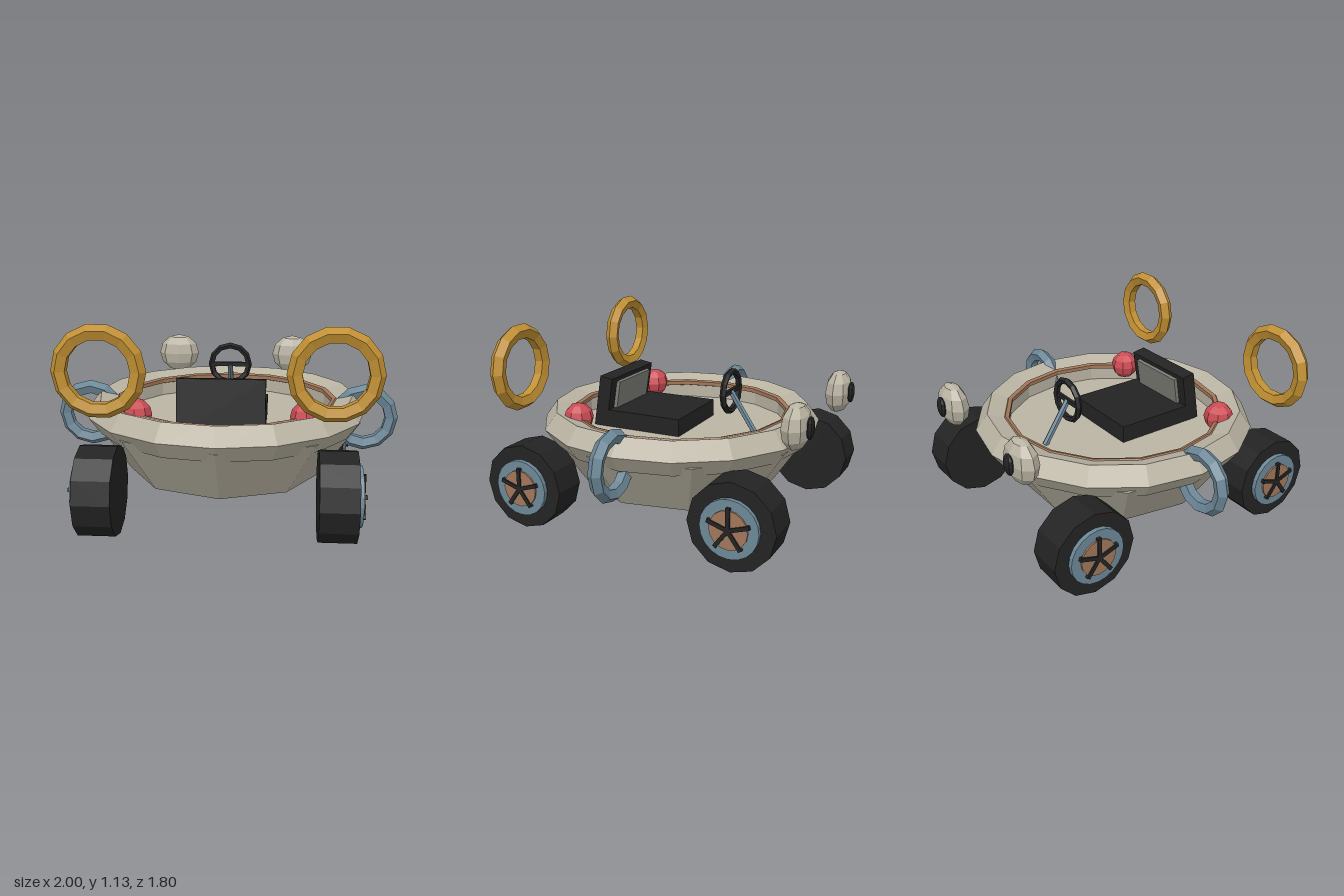
import * as THREE from 'three';

const colours = {
  stone: 0xbab4a3, rubber: 0x232323, gold: 0xc08f32,
  steelBlue: 0x6c8797, leather: 0xa0775a, red: 0xcc4c54, padGrey: 0x7c7c76,
};

export function createModel() {
  const model = new THREE.Group();
  model.name = 'openBuggy';
  const mats = {};
  for (const [name, hex] of Object.entries(colours)) {
    mats[name] = new THREE.MeshStandardMaterial({ color: hex });
    mats[name].name = name;
  }

  // Faceted mesh helper: split faces so every facet gets its own normal
  function add(parent, name, geometry, colour, x = 0, y = 0, z = 0) {
    const g = geometry.index ? geometry.toNonIndexed() : geometry;
    g.computeVertexNormals();
    const mesh = new THREE.Mesh(g, mats[colour]);
    mesh.name = name;
    mesh.position.set(x, y, z);
    parent.add(mesh);
    return mesh;
  }
  const box = (w, h, d) => new THREE.BoxGeometry(w, h, d);
  const disc = (r, w, n) => new THREE.CylinderGeometry(r, r, w, n).rotateZ(Math.PI / 2);
  const ring = (r, t, n, m = 5) => new THREE.TorusGeometry(r, t, m, n);
  const flatRing = (r, t, n) => ring(r, t, n).rotateX(-Math.PI / 2);

  // Bowl body with closed floor, thick rim and trim band
  const cz = 0.03;
  add(model, 'bowl', new THREE.CylinderGeometry(0.785, 0.56, 0.32, 9), 'stone', 0, 0.34, cz);
  add(model, 'rim', flatRing(0.708, 0.1, 16), 'stone', 0, 0.54, cz);
  add(model, 'trimBand', flatRing(0.63, 0.02, 16), 'leather', 0, 0.592, cz);

  // Seat facing the headlights
  const seat = new THREE.Group();
  seat.name = 'seat';
  model.add(seat);
  add(seat, 'cushion', box(0.48, 0.1, 0.5), 'rubber', 0, 0.55, 0.18);
  const back = new THREE.Group();
  back.name = 'backrest';
  back.position.set(0, 0.645, 0.42);
  back.rotation.x = -0.16;
  seat.add(back);
  add(back, 'backFrame', box(0.48, 0.3, 0.08), 'rubber');
  add(back, 'backPad', box(0.36, 0.22, 0.022), 'padGrey', 0, 0.015, -0.05);

  // Steering wheel and leaning column
  const steering = new THREE.Group();
  steering.name = 'steering';
  steering.position.set(0, 0.735, -0.285);
  model.add(steering);
  add(steering, 'steeringWheel', ring(0.115, 0.019, 12), 'rubber');
  add(steering, 'steeringSpoke', box(0.22, 0.025, 0.02), 'rubber');
  const column = add(steering, 'steeringColumn',
    new THREE.CylinderGeometry(0.018, 0.018, 0.285, 6), 'steelBlue', 0, -0.118, -0.078);
  column.rotation.x = Math.atan2(0.156, 0.236);

  // One wheel, its outer face turned towards side s
  function wheel(s, z) {
    const w = new THREE.Group();
    w.name = (s > 0 ? 'left' : 'right') + (z > 0 ? 'Front' : 'Rear') + 'Wheel';
    w.position.set(s * 0.62, 0.243, z);
    model.add(w);
    add(w, 'tyre', disc(0.242, 0.2, 12), 'rubber');
    add(w, 'hubRing', disc(0.16, 0.03, 20), 'steelBlue', s * 0.11);
    add(w, 'hubDisc', disc(0.105, 0.03, 16), 'leather', s * 0.12);
    for (let i = 0; i < 5; i++) {
      const a = (i / 5) * Math.PI * 2;
      const spoke = add(w, 'spoke', box(0.025, 0.12, 0.022), 'rubber',
        s * 0.131, Math.cos(a) * 0.06, Math.sin(a) * 0.06);
      spoke.rotation.x = a;
    }
  }

  // Mirrored fittings
  for (const s of [1, -1]) {
    wheel(s, 0.66);
    wheel(s, -0.595);
    add(model, 'sideHandle', ring(0.155, 0.041, 12), 'steelBlue', s * 0.802, 0.495, cz);
    add(model, 'goldHoop', ring(0.2, 0.043, 14), 'gold', s * 0.59, 0.895, 0.73);
    add(model, 'redKnob', new THREE.SphereGeometry(0.085, 8, 6), 'red', s * 0.455, 0.605, 0.45);
    const lamp = new THREE.Group();
    lamp.name = 'headlight';
    lamp.position.set(s * 0.385, 0.705, -0.805);
    model.add(lamp);
    add(lamp, 'lampShell', new THREE.SphereGeometry(1, 8, 6).scale(0.133, 0.125, 0.075), 'stone');
    add(lamp, 'lampLens', new THREE.SphereGeometry(1, 8, 6).scale(0.045, 0.062, 0.02), 'rubber', 0, 0, -0.073);
  }
  return model;
}
